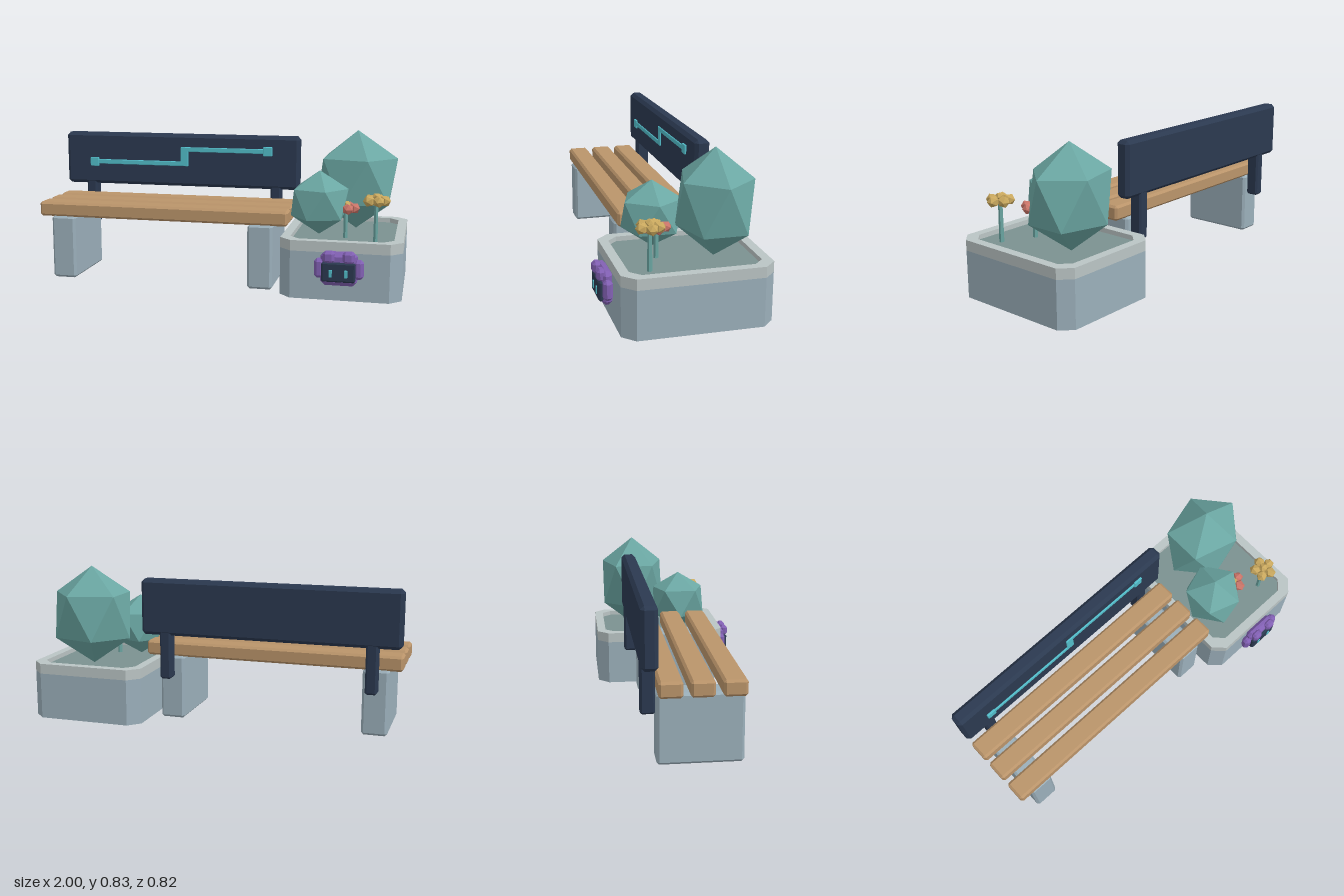
import * as THREE from 'three';
import { ConvexGeometry } from 'three/addons/geometries/ConvexGeometry.js';

const paint = (name, color) => {
  const m = new THREE.MeshStandardMaterial({ color });
  m.name = name;
  return m;
};

// Box given by its limits, with a flat chamfer on every edge
function chamferBox([x0, x1], [y0, y1], [z0, z1], b) {
  const h = [(x1 - x0) / 2, (y1 - y0) / 2, (z1 - z0) / 2];
  const points = [];
  for (const sx of [-1, 1]) for (const sy of [-1, 1]) for (const sz of [-1, 1]) {
    for (let full = 0; full < 3; full++) {
      const [x, y, z] = h.map((v, i) => (i === full ? v : v - b));
      points.push(new THREE.Vector3(sx * x, sy * y, sz * z));
    }
  }
  return new ConvexGeometry(points).translate((x0 + x1) / 2, (y0 + y1) / 2, (z0 + z1) / 2);
}

// Rectangle with cut corners
function octagon(w, d, c, Type = THREE.Shape) {
  const x = w / 2, y = d / 2;
  return new Type([[x, y - c], [x - c, y], [c - x, y], [-x, y - c], [-x, c - y], [c - x, -y], [x - c, -y], [x, c - y]]
    .map(([a, b]) => new THREE.Vector2(a, b)));
}

const slab = (shape, y0, y1) =>
  new THREE.ExtrudeGeometry(shape, { depth: y1 - y0, bevelEnabled: false }).rotateX(-Math.PI / 2).translate(0, y0, 0);

// Twenty-sided bush standing on a point: two staggered rings of five and two tips
function bushGeometry() {
  const points = [new THREE.Vector3(0, 1, 0), new THREE.Vector3(0, -1, 0)];
  for (let i = 0; i < 5; i++) {
    const a = (i * Math.PI * 2) / 5;
    points.push(new THREE.Vector3(0.894 * Math.cos(a), 0.447, 0.894 * Math.sin(a)));
    points.push(new THREE.Vector3(-0.894 * Math.cos(a), -0.447, 0.894 * Math.sin(a)));
  }
  return new ConvexGeometry(points);
}

export function createModel() {
  const model = new THREE.Group();
  const wood = paint('wood', 0xba946a);
  const concrete = paint('concrete', 0x9bafba);
  const rimStone = paint('pale rim', 0xbac4c4);
  const navy = paint('navy', 0x2b3950);
  const cyan = paint('cyan', 0x52bdca);
  const leaf = paint('leaf', 0x6ba7a3);
  const soil = paint('soil', 0x7b9190);
  const coral = paint('coral', 0xcb7569);
  const yellow = paint('yellow', 0xc9a85e);
  const purple = paint('purple', 0x8260b4);

  const add = (name, geometry, material, parent = model) => {
    const mesh = new THREE.Mesh(geometry, material);
    mesh.name = name;
    parent.add(mesh);
    return mesh;
  };

  // Bench: seat, legs, posts and backrest
  const bench = new THREE.Group();
  bench.name = 'bench';
  model.add(bench);
  for (const z of [-0.13, 0.018, 0.168]) {
    add('seatSlat', chamferBox([-1, 0.395], [0.347, 0.427], [z - 0.057, z + 0.057], 0.012), wood, bench);
  }
  for (const x of [-0.863, 0.247]) {
    add('leg', chamferBox([x - 0.068, x + 0.068], [0, 0.35], [-0.19, 0.226], 0.013), concrete, bench);
    add('backPost', chamferBox([x + 0.013 - 0.031, x + 0.013 + 0.031], [0.235, 0.52], [-0.262, -0.19], 0.01), navy, bench);
  }
  add('backrest', chamferBox([-1, 0.395], [0.475, 0.777], [-0.265, -0.185], 0.018), navy, bench);

  // Stepped light strip with square ends
  const strip = (name, x0, x1, y0, y1, z1) =>
    add(name, chamferBox([x0, x1], [y0, y1], [-0.187, z1], 0.003), cyan, bench);
  strip('lightStripLow', -0.825, -0.252, 0.594, 0.621, -0.178);
  strip('lightStripStep', -0.297, -0.252, 0.594, 0.705, -0.178);
  strip('lightStripHigh', -0.297, 0.215, 0.678, 0.705, -0.178);
  strip('lightStripEnd', -0.851, -0.799, 0.58, 0.632, -0.174);
  strip('lightStripEnd', 0.189, 0.241, 0.666, 0.718, -0.174);

  // Planter
  const planter = new THREE.Group();
  planter.name = 'planter';
  planter.position.set(0.682, 0, -0.036);
  model.add(planter);
  add('planterBase', slab(octagon(0.63, 0.748, 0.061), 0, 0.25), concrete, planter);
  const rim = octagon(0.63, 0.748, 0.061);
  rim.holes.push(octagon(0.534, 0.652, 0.05, THREE.Path));
  add('planterRim', slab(rim, 0.25, 0.305), rimStone, planter);
  add('soil', slab(octagon(0.54, 0.658, 0.052), 0.25, 0.28), soil, planter);

  // Bushes: position, radii
  const bush = bushGeometry();
  for (const [name, p, r] of [
    ['largeBush', [0.72, 0.552, -0.18], [0.246, 0.2735, 0.21]],
    ['smallBush', [0.545, 0.4625, 0.087], [0.171, 0.1715, 0.175]],
  ]) {
    const mesh = add(name, bush, leaf);
    mesh.position.set(...p);
    mesh.scale.set(...r);
  }

  // Flowers: a stem, five petals and a centre
  const bud = new THREE.IcosahedronGeometry(1, 0);
  const flower = (x, y, z, petalPaint) => {
    const group = new THREE.Group();
    group.name = 'flower';
    group.position.set(x, 0, z);
    model.add(group);
    add('stem', new THREE.CylinderGeometry(0.011, 0.013, y - 0.27, 6).toNonIndexed()
      .translate(0, (y + 0.27) / 2, 0), leaf, group).geometry.computeVertexNormals();
    for (let i = 0; i < 5; i++) {
      const a = (i * Math.PI * 2) / 5;
      const petal = add('petal', bud, petalPaint, group);
      petal.position.set(0.043 * Math.cos(a), y, 0.043 * Math.sin(a));
      petal.rotation.y = -a;
      petal.scale.set(0.034, 0.03, 0.031);
    }
    const centre = add('flowerCentre', bud, yellow, group);
    centre.position.y = y + 0.017;
    centre.scale.set(0.027, 0.024, 0.027);
  };
  flower(0.85, 0.498, 0.178, yellow);
  flower(0.688, 0.44, 0.103, coral);

  // Small robot face on the front of the planter
  const robot = new THREE.Group();
  robot.name = 'robotFace';
  robot.position.x = 0.683;
  model.add(robot);
  add('head', chamferBox([-0.093, 0.093], [0.088, 0.262], [0.332, 0.392], 0.022), purple, robot);
  add('screen', chamferBox([-0.086, 0.086], [0.112, 0.213], [0.38, 0.405], 0.008), navy, robot);
  for (const s of [-1, 1]) {
    const span = (a, b) => [Math.min(s * a, s * b), Math.max(s * a, s * b)];
    add('sideEar', chamferBox(span(0.075, 0.125), [0.125, 0.225], [0.342, 0.388], 0.015), purple, robot);
    add('topKnob', chamferBox(span(0.02, 0.08), [0.208, 0.27], [0.365, 0.41], 0.014), purple, robot);
    add('eye', chamferBox(span(0.031, 0.047), [0.137, 0.177], [0.403, 0.41], 0.002), cyan, robot);
  }
  return model;
}
